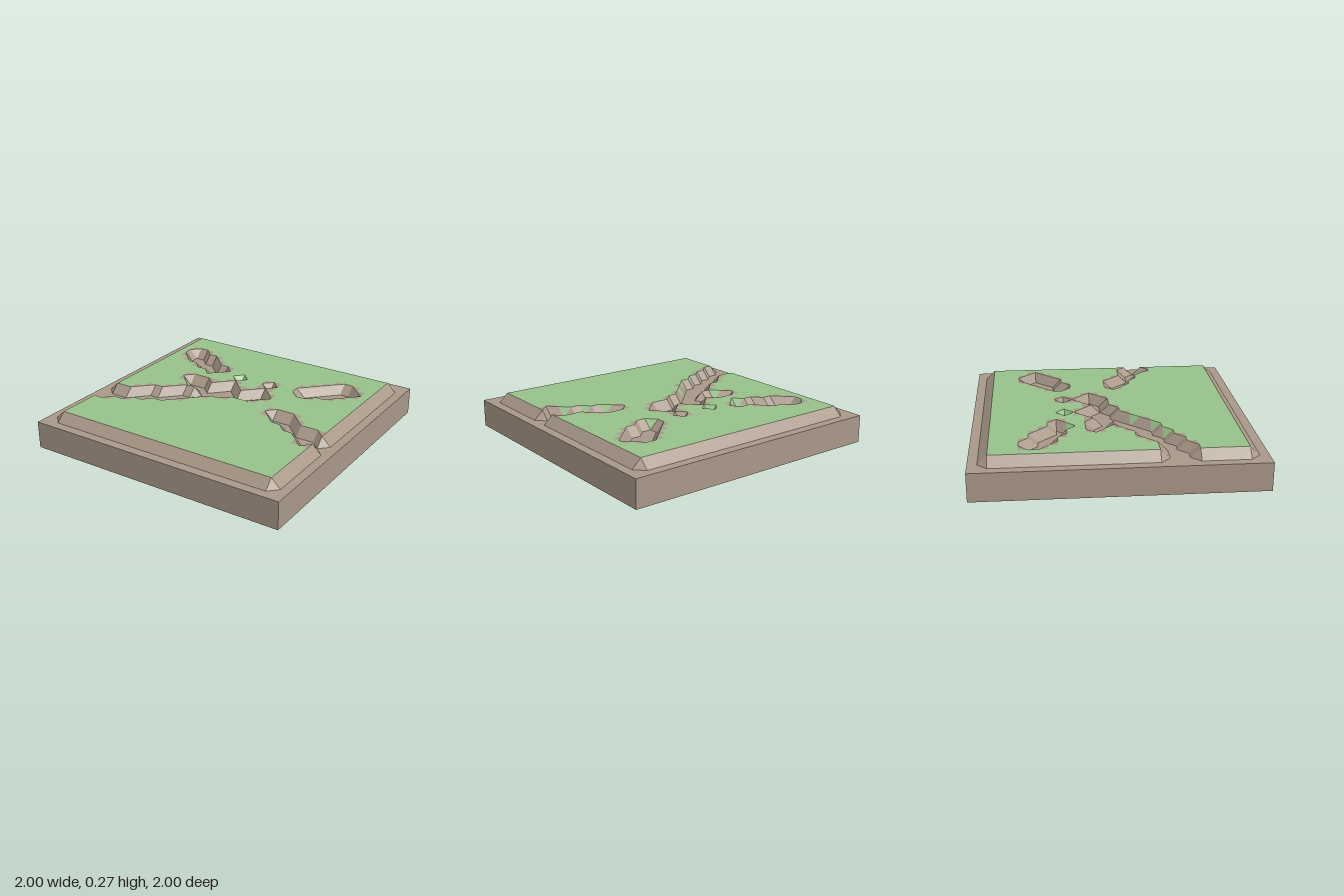
import * as THREE from 'three';

const N = 30, CELL = 2 / N, LOW = 0.203, HIGH = 0.268;

// Sunken grid points: row -> inclusive column ranges
const PITS = {
  6: [[4, 5], [24, 25]],
  7: [[4, 7], [23, 26]],
  8: [[5, 8], [22, 25]],
  9: [[7, 10], [21, 24]],
  10: [[9, 9], [13, 13], [17, 17], [21, 22]],
  12: [[13, 13], [17, 17]],
  13: [[8, 10], [12, 14], [16, 18]],
  14: [[9, 17]],
  15: [[11, 14]],
  16: [[9, 12], [21, 23]],
  17: [[8, 11], [22, 24]],
  18: [[6, 10], [24, 27]],
  19: [[5, 9], [26, 28]],
  20: [[2, 7], [27, 27]],
  21: [[2, 5]],
  22: [[2, 3]],
};

// Sloping cells that stay grassy (column, row)
const GRASSY = new Set([
  '12,9', '13,9', '12,10', '13,10', '8,10', '9,10', '20,10', '8,14',
  '11,17', '9,19', '7,20', '21,17', '23,18', '25,19',
]);

const isLow = (i, j) =>
  i < 2 || j < 2 || i > N - 2 || j > N - 2 ||
  (PITS[j] || []).some(([from, to]) => i >= from && i <= to);

const point = (i, j) => [i * CELL - 1, isLow(i, j) ? LOW : HIGH, j * CELL - 1];

function surface(name, positions, material) {
  const geometry = new THREE.BufferGeometry();
  geometry.setAttribute('position', new THREE.Float32BufferAttribute(positions, 3));
  geometry.computeVertexNormals();
  const mesh = new THREE.Mesh(geometry, material);
  mesh.name = name;
  return mesh;
}

export function createModel() {
  const group = new THREE.Group();
  group.name = 'terrainTile';
  const earth = new THREE.MeshStandardMaterial({ color: 0xa89888, flatShading: true });
  const grass = new THREE.MeshStandardMaterial({ color: 0x97c18a, flatShading: true });

  // Slab: its top is also the rim and the floor of the channels
  const slab = new THREE.Mesh(new THREE.BoxGeometry(2, LOW, 2), earth);
  slab.position.y = LOW / 2;
  slab.name = 'baseSlab';
  group.add(slab);

  // Raised plateau, cell by cell; level floor triangles are left to the slab
  const grassTris = [], earthTris = [];
  for (let j = 1; j < N - 1; j++) {
    for (let i = 1; i < N - 1; i++) {
      const a = point(i, j), b = point(i + 1, j);
      const c = point(i + 1, j + 1), d = point(i, j + 1);
      const sloped = [a, b, c, d].some((p) => p[1] === LOW);
      const target = !sloped || GRASSY.has(`${i},${j}`) ? grassTris : earthTris;
      // The diagonal cuts off the one corner that differs
      const tris = a[1] === c[1] && b[1] !== d[1]
        ? [[a, d, c], [a, c, b]]
        : [[a, d, b], [b, d, c]];
      for (const tri of tris) {
        if (tri.some((p) => p[1] === HIGH)) target.push(...tri.flat());
      }
    }
  }
  group.add(surface('grassPlateau', grassTris, grass));
  group.add(surface('earthBanks', earthTris, earth));
  return group;
}
